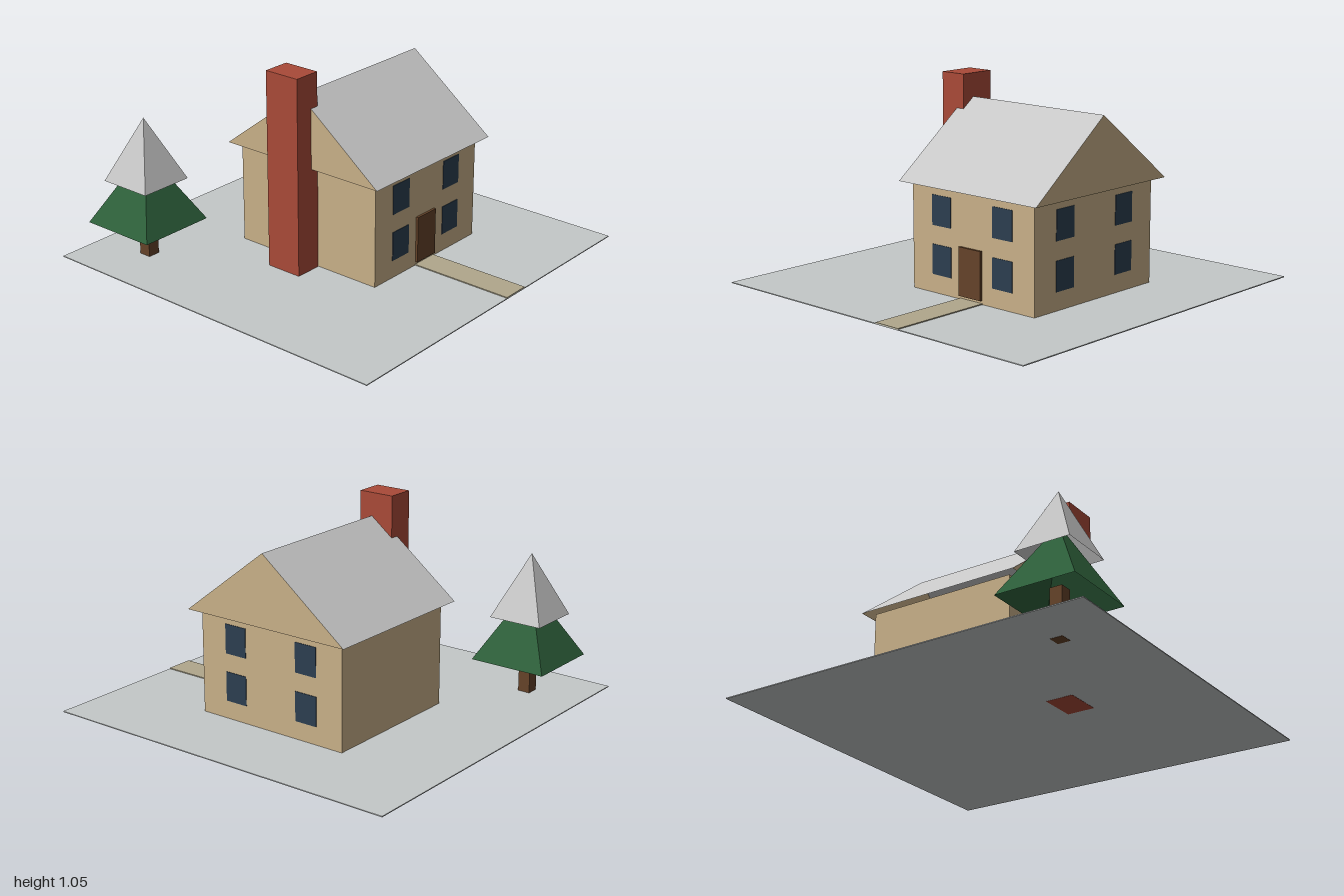
import * as THREE from 'three';

const material = (name, color, side = THREE.FrontSide) => {
  const m = new THREE.MeshStandardMaterial({ color, side });
  m.name = name;
  return m;
};

export function createModel() {
  const model = new THREE.Group();
  model.name = 'cottage';

  const wallTan = material('wall tan', 0xc8b088, THREE.DoubleSide);
  const paleGrey = material('pale grey', 0xc6c6c6, THREE.DoubleSide);
  const pineGreen = material('pine green', 0x2d5f3a, THREE.DoubleSide);
  const brickRed = material('brick red', 0xa94a38);
  const windowBlue = material('window blue', 0x2c3e50);
  const woodBrown = material('wood brown', 0x654329);
  const groundGrey = material('ground grey', 0xc4c8c8);
  const pathTan = material('path tan', 0xb0a78c);

  const add = (name, geometry, mat, parent = model) => {
    const mesh = new THREE.Mesh(geometry, mat);
    mesh.name = name;
    parent.add(mesh);
    return mesh;
  };

  // Box given by its extents along each axis
  const box = (name, mat, [x0, x1], [y0, y1], [z0, z1], parent) => {
    const g = new THREE.BoxGeometry(x1 - x0, y1 - y0, z1 - z0);
    g.translate((x0 + x1) / 2, (y0 + y1) / 2, (z0 + z1) / 2);
    return add(name, g, mat, parent);
  };

  // Flat face from a fan of corners, counter-clockwise from outside
  const face = (name, mat, corners, parent) => {
    const g = new THREE.BufferGeometry();
    g.setAttribute('position', new THREE.Float32BufferAttribute(corners.flat(), 3));
    g.setIndex(corners.length === 4 ? [0, 1, 2, 0, 2, 3] : [0, 1, 2]);
    g.computeVertexNormals();
    return add(name, g, mat, parent);
  };

  // Ground and path
  box('ground', groundGrey, [-1, 1], [0.001, 0.006], [-1, 1]);
  box('path', pathTan, [0.073, 0.223], [0.003, 0.011], [0.43, 1]);

  // House walls
  const house = new THREE.Group();
  house.name = 'house';
  model.add(house);
  const front = 0.437, side = 0.56;
  box('walls', wallTan, [-0.25, side], [0.003, 0.551], [-front, front], house);

  // Roof: two slopes and two gables, open underneath
  const [x0, x1, eave, ridge, half] = [-0.3, 0.61, 0.551, 0.925, 0.485];
  face('frontSlope', paleGrey,
    [[x0, eave, half], [x1, eave, half], [x1, ridge, 0], [x0, ridge, 0]], house);
  face('backSlope', paleGrey,
    [[x1, eave, -half], [x0, eave, -half], [x0, ridge, 0], [x1, ridge, 0]], house);
  face('leftGable', wallTan, [[x1, eave, half], [x1, eave, -half], [x1, ridge, 0]], house);
  face('rightGable', wallTan, [[x0, eave, -half], [x0, eave, half], [x0, ridge, 0]], house);

  // Door and windows
  box('door', woodBrown, [0.075, 0.22], [0.025, 0.272], [front - 0.005, 0.45], house);
  for (const y of [0.177, 0.427]) {
    const rows = [y - 0.077, y + 0.077];
    for (const x of [-0.05, 0.355])
      box('frontWindow', windowBlue, [x - 0.064, x + 0.064], rows, [front - 0.002, front + 0.003], house);
    for (const z of [-0.22, 0.22])
      box('sideWindow', windowBlue, [side - 0.002, side + 0.003], rows, [z - 0.064, z + 0.064], house);
  }

  // Chimney
  box('chimney', brickRed, [-0.4, -0.253], [0, 1.047], [-0.126, 0.073], house);

  // Snow-topped pine with square tiers
  const tree = new THREE.Group();
  tree.name = 'tree';
  tree.position.set(-0.69, 0, -0.69);
  model.add(tree);
  box('trunk', woodBrown, [-0.033, 0.033], [0, 0.25], [-0.033, 0.033], tree);
  const tier = (name, mat, halfWidth, base, tip) => {
    let g = new THREE.ConeGeometry(halfWidth * Math.SQRT2, tip - base, 4, 1, true);
    g.rotateY(Math.PI / 4);
    g.translate(0, (base + tip) / 2, 0);
    g = g.toNonIndexed();
    g.computeVertexNormals();
    add(name, g, mat, tree);
  };
  tier('lowerBranches', pineGreen, 0.21, 0.19, 0.572);
  tier('snowyTop', paleGrey, 0.147, 0.415, 0.748);

  return model;
}
